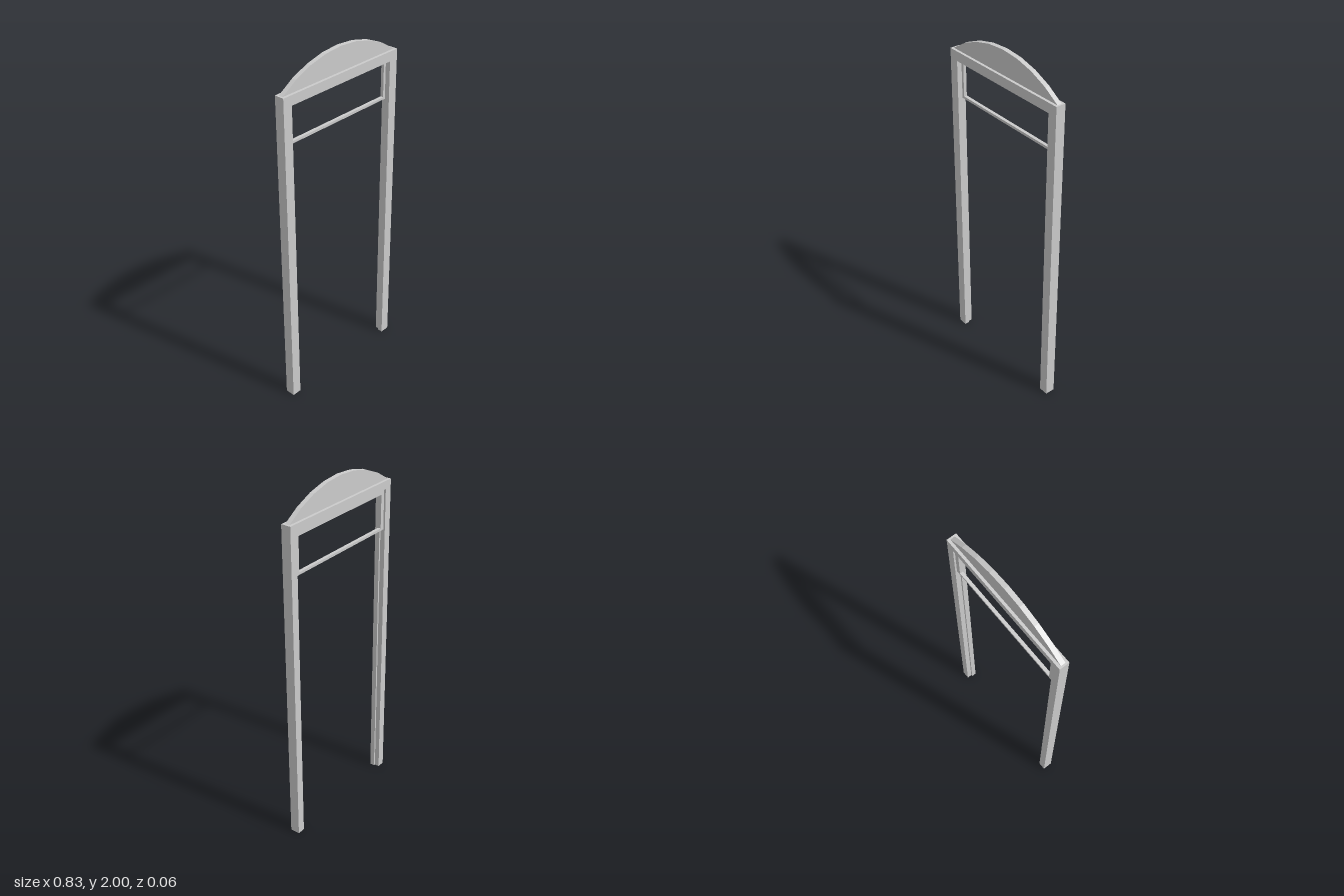
import * as THREE from 'three';

const material = new THREE.MeshStandardMaterial({ color: 0xcccccc, flatShading: true });

// Extrudes a closed outline (with optional hole) between two z planes
function slab(name, points, zBack, zFront, hole) {
  const toVectors = (list) => list.map(([x, y]) => new THREE.Vector2(x, y));
  const shape = new THREE.Shape(toVectors(points));
  if (hole) shape.holes.push(new THREE.Path(toVectors(hole)));
  const geometry = new THREE.ExtrudeGeometry(shape, { depth: zFront - zBack, bevelEnabled: false });
  geometry.translate(0, 0, zBack);
  const mesh = new THREE.Mesh(geometry, material);
  mesh.name = name;
  return mesh;
}

// Two posts and a lintel as one portal outline
function portal(outerX, topY, innerX, lintelY) {
  return [
    [-outerX, 0], [-innerX, 0], [-innerX, lintelY], [innerX, lintelY],
    [innerX, 0], [outerX, 0], [outerX, topY], [-outerX, topY],
  ];
}

const rect = (x, y0, y1) => [[-x, y0], [x, y0], [x, y1], [-x, y1]];

export function createModel() {
  const group = new THREE.Group();
  group.name = 'doorFrame';

  const outerX = 0.415, topY = 1.865, depth = 0.028;

  // Jambs and lintel: the front half forms a stop, the back half is rebated
  const jambs = new THREE.Group();
  jambs.name = 'jambsAndLintel';
  jambs.add(
    slab('frontStop', portal(outerX, topY, 0.36, 1.81), 0, depth),
    slab('backRebate', portal(outerX, topY, 0.37, 1.82), -depth, 0),
  );
  group.add(jambs);

  // Open transom window frame seated in the rebate
  group.add(slab('transomFrame', rect(0.37, 1.588, 1.82), -0.018, 0, rect(0.345, 1.602, 1.793)));

  // Segmental arched pediment on top of the lintel
  const halfWidth = 0.405, rise = 2 - topY;
  const radius = (halfWidth ** 2 + rise ** 2) / (2 * rise);
  const halfAngle = Math.asin(halfWidth / radius);
  const arc = [];
  for (let i = 0; i <= 8; i++) {
    const a = halfAngle * (1 - i / 4);
    arc.push([radius * Math.sin(a), 2 - radius + radius * Math.cos(a)]);
  }
  group.add(slab('archedPediment', arc, -0.013, 0.013));

  return group;
}
